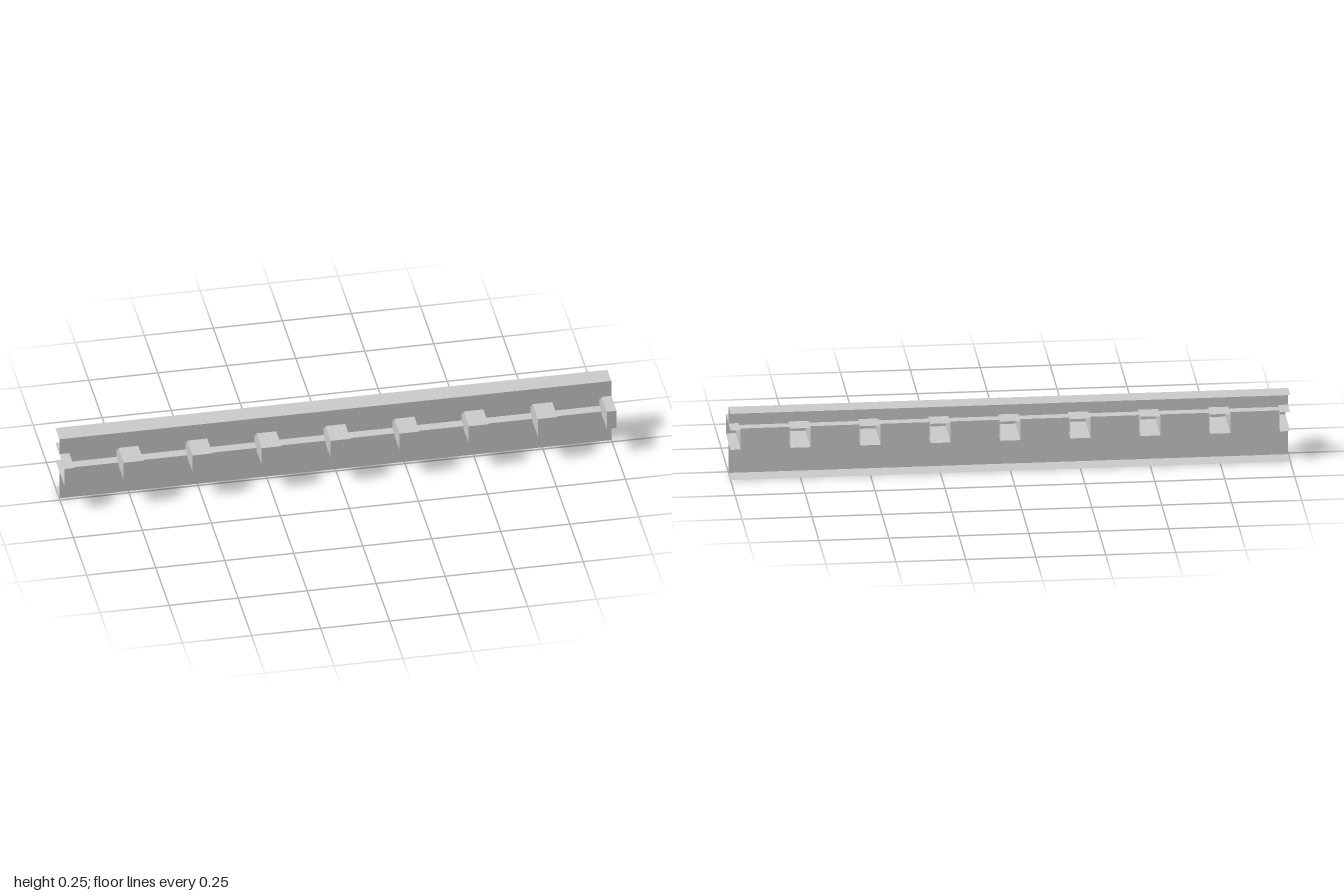
import * as THREE from 'three';

const BACK = -0.087, FRONT = 0.087, WALL = -0.012, SLOT = -0.05;
const HEIGHT = 0.25, SLOT_LOW = 0.125, SLOT_HIGH = 0.18;
const BLOCK_LOW = 0.114, BLOCK_HIGH = 0.187, HALF = 0.036, PITCH = 0.25;

const material = new THREE.MeshStandardMaterial({
  color: 0xcccccc, flatShading: true, side: THREE.DoubleSide,
});

// Sheet made by sweeping a [y, z] profile from x0 to x1
function sheet(name, profile, x0, x1) {
  const points = [];
  for (let i = 0; i < profile.length - 1; i++) {
    const [a, b] = [profile[i], profile[i + 1]];
    points.push(x0, ...a, x0, ...b, x1, ...b, x0, ...a, x1, ...b, x1, ...a);
  }
  const geometry = new THREE.BufferGeometry();
  geometry.setAttribute('position', new THREE.Float32BufferAttribute(points, 3));
  geometry.computeVertexNormals();
  const mesh = new THREE.Mesh(geometry, material);
  mesh.name = name;
  return mesh;
}

// Side plate of a block, facing +x or -x
function sidePlate(x, facing) {
  const geometry = new THREE.PlaneGeometry(FRONT - BACK, BLOCK_HIGH - BLOCK_LOW);
  geometry.rotateY(facing * Math.PI / 2);
  const mesh = new THREE.Mesh(geometry, material);
  mesh.position.set(x, (BLOCK_LOW + BLOCK_HIGH) / 2, 0);
  mesh.name = 'blockSide';
  return mesh;
}

export function createModel() {
  const model = new THREE.Group();
  model.name = 'beamWithBlocks';

  // Wall with flanges and a recessed slot, between blocks
  const bay = [[HEIGHT, BACK], [HEIGHT, WALL], [SLOT_HIGH, WALL], [SLOT_HIGH, SLOT],
    [SLOT_LOW, SLOT], [SLOT_LOW, WALL], [0, WALL], [0, BACK]];
  // Wall above and below each block
  const above = [[HEIGHT, BACK], [HEIGHT, WALL], [BLOCK_HIGH, WALL]];
  const below = [[BLOCK_LOW, WALL], [0, WALL], [0, BACK]];
  // Hollow block, open at the back
  const shell = [[BLOCK_HIGH, BACK], [BLOCK_HIGH, FRONT], [BLOCK_LOW, FRONT], [BLOCK_LOW, BACK]];

  for (let i = -4; i <= 4; i++) {
    const x = i * PITCH;
    // The end blocks are cut in half and left open at the cut
    const x0 = Math.max(-1, x - HALF), x1 = Math.min(1, x + HALF);
    const block = new THREE.Group();
    block.name = 'block';
    block.add(sheet('blockShell', shell, x0, x1));
    if (i > -4) block.add(sidePlate(x0, -1));
    if (i < 4) block.add(sidePlate(x1, 1));
    model.add(block, sheet('upperWall', above, x0, x1), sheet('lowerWall', below, x0, x1));
    if (i < 4) model.add(sheet('slottedWall', bay, x1, x + PITCH - HALF));
  }
  return model;
}
